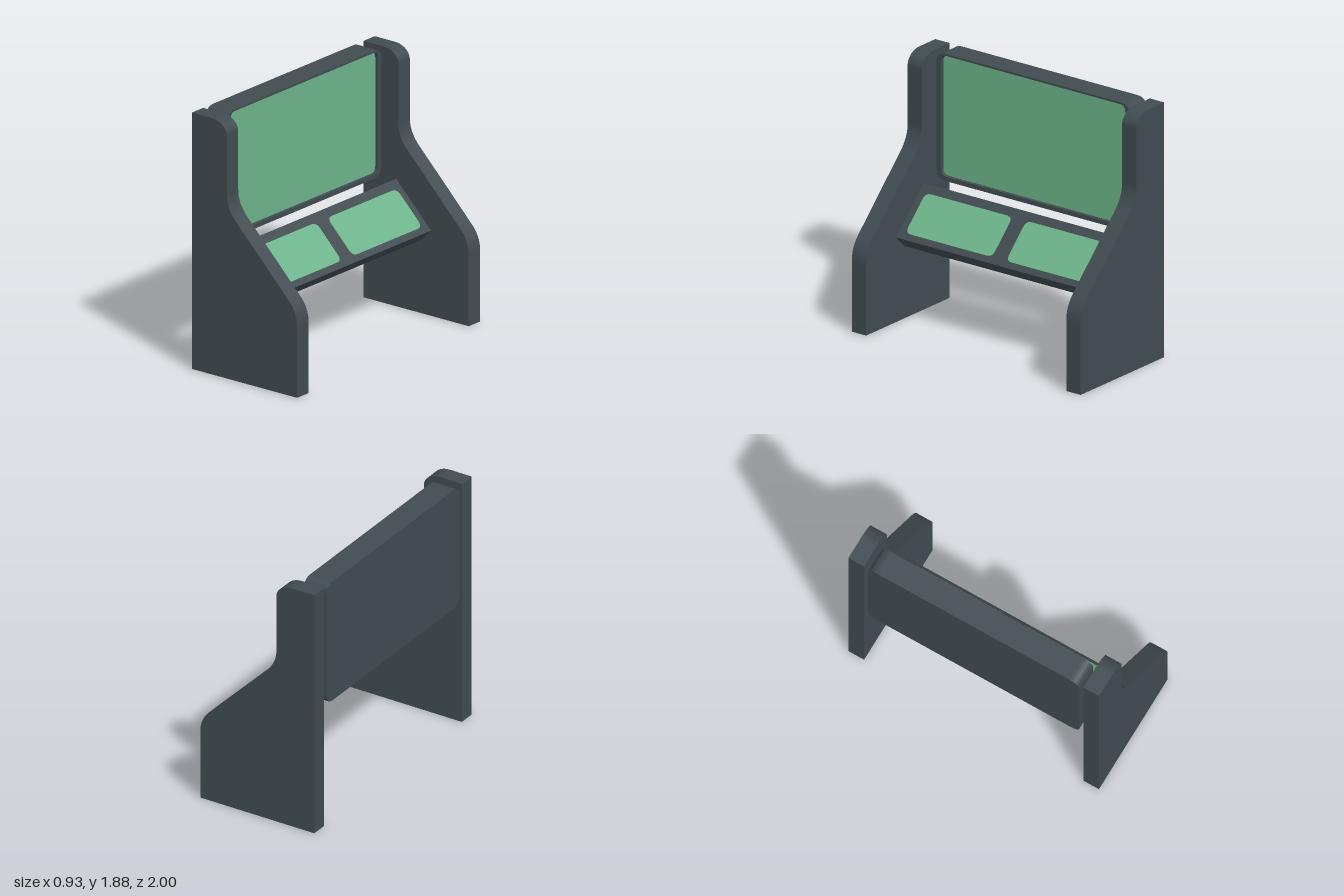
import * as THREE from 'three';

const shell = new THREE.MeshStandardMaterial({ color: 0x404b50 });
shell.name = 'slateShell';
const glass = new THREE.MeshStandardMaterial({ color: 0x6cb48a });
glass.name = 'greenPanel';

// Rounded rectangle centred on the origin
function roundedRect(w, h, r, Type = THREE.Shape) {
  const s = new Type(), x = w / 2, y = h / 2;
  s.moveTo(-x + r, -y);
  s.lineTo(x - r, -y);
  s.quadraticCurveTo(x, -y, x, -y + r);
  s.lineTo(x, y - r);
  s.quadraticCurveTo(x, y, x - r, y);
  s.lineTo(-x + r, y);
  s.quadraticCurveTo(-x, y, -x, y - r);
  s.lineTo(-x, -y + r);
  s.quadraticCurveTo(-x, -y, -x + r, -y);
  return s;
}

// Extrude a shape towards +x, its width running along z
function extrudeX(shape, depth) {
  const g = new THREE.ExtrudeGeometry(shape, { depth, bevelEnabled: false, curveSegments: 8 });
  return g.rotateY(Math.PI / 2);
}

function add(parent, name, geometry, material, x = 0, y = 0, z = 0) {
  const m = new THREE.Mesh(geometry, material);
  m.name = name;
  m.position.set(x, y, z);
  parent.add(m);
  return m;
}

export function createModel() {
  const model = new THREE.Group();
  model.name = 'benchCabinet';

  // Side boards with a stepped, curved front edge
  const side = new THREE.Shape();
  side.moveTo(-0.468, 0);
  side.lineTo(0.466, 0);
  side.lineTo(0.466, 0.52);
  side.quadraticCurveTo(0.466, 0.62, 0.395, 0.692);
  side.lineTo(-0.08, 1.17);
  side.quadraticCurveTo(-0.158, 1.25, -0.158, 1.35);
  side.lineTo(-0.158, 1.78);
  side.bezierCurveTo(-0.158, 1.83, -0.215, 1.876, -0.29, 1.876);
  side.lineTo(-0.468, 1.876);
  side.closePath();
  const sideGeo = new THREE.ExtrudeGeometry(side, { depth: 0.125, bevelEnabled: false, curveSegments: 10 });
  add(model, 'leftSideBoard', sideGeo, shell, 0, 0, 0.875);
  add(model, 'rightSideBoard', sideGeo, shell, 0, 0, -1);

  // Display: solid back, raised rim and recessed green face
  const display = new THREE.Group();
  display.name = 'display';
  display.position.set(-0.468, 1.408, 0);
  model.add(display);
  add(display, 'displayBack', extrudeX(roundedRect(1.69, 0.936, 0.08), 0.16), shell);
  const rim = roundedRect(1.69, 0.936, 0.08);
  const opening = roundedRect(1.61, 0.89, 0.05, THREE.Path);
  opening.curves.forEach((c) => ['v0', 'v1', 'v2'].forEach((k) => { if (c[k]) c[k].y += 0.009; }));
  rim.holes.push(opening);
  add(display, 'displayRim', extrudeX(rim, 0.025), shell, 0.16);
  add(display, 'displayFace', extrudeX(roundedRect(1.605, 0.885, 0.05), 0.004), glass, 0.16, 0.009);

  // Control deck sloping down at 45 degrees, with two inset pads
  const deck = new THREE.Group();
  deck.name = 'controlDeck';
  deck.position.set(-0.023, 0.778, 0);
  deck.rotation.z = Math.PI / 4;
  model.add(deck);
  add(deck, 'deckBoard', new THREE.BoxGeometry(0.125, 0.438, 1.75), shell, -0.0625);
  const padGeo = extrudeX(roundedRect(0.758, 0.322, 0.05), 0.004);
  for (const s of [1, -1]) {
    add(deck, s > 0 ? 'leftPad' : 'rightPad', padGeo, glass, -0.001, -0.01, s * 0.44);
  }

  return model;
}
